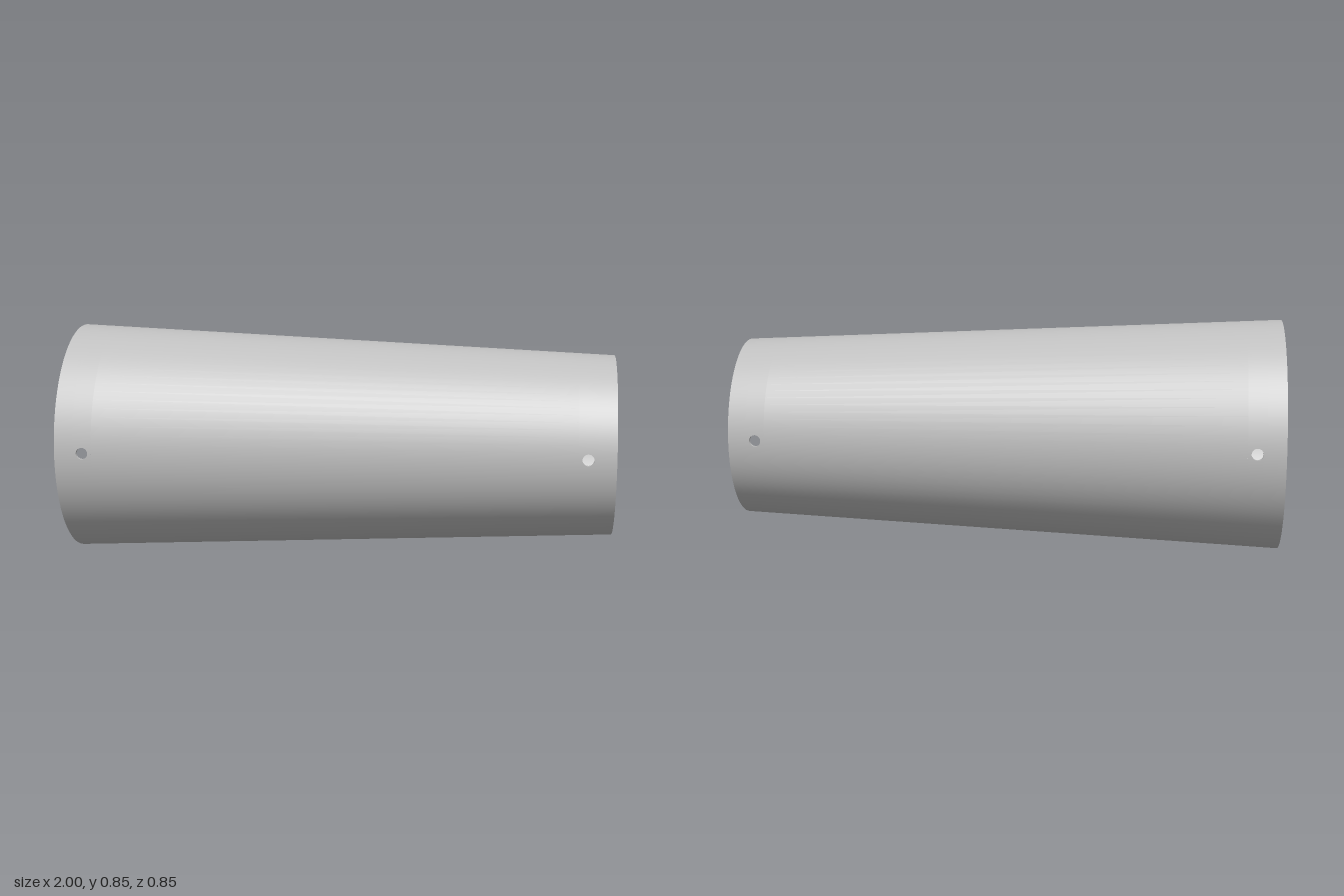
import * as THREE from 'three';

const R_LEFT = 0.424, R_RIGHT = 0.332, WALL = 0.0125;
const SLOPE = (R_LEFT - R_RIGHT) / 2;
const SEGS = 80, STEP = (Math.PI * 2) / SEGS;
const HOLE_X = 0.9, HOLE_R = 0.021, PATCH = 0.034, HOLE_SEGS = 32;

const radius = (x, inset) => R_LEFT - SLOPE * (x + 1) - inset;

// Point on the tapered wall; angle 0 faces the front.
function wallPoint(x, a, inset) {
  const r = radius(x, inset);
  return { p: [x, R_LEFT + r * Math.sin(a), r * Math.cos(a)], n: [SLOPE, Math.sin(a), Math.cos(a)] };
}

// Collects quads with explicit normals.
class Surface {
  constructor() { this.pos = []; this.nor = []; }
  quad(a, b, c, d, flip) {
    const order = flip ? [a, c, b, a, d, c] : [a, b, c, a, c, d];
    for (const v of order) {
      this.pos.push(...v.p);
      const n = new THREE.Vector3(...v.n).normalize();
      if (flip) n.negate();
      this.nor.push(n.x, n.y, n.z);
    }
  }
  mesh(name, material) {
    const g = new THREE.BufferGeometry();
    g.setAttribute('position', new THREE.Float32BufferAttribute(this.pos, 3));
    g.setAttribute('normal', new THREE.Float32BufferAttribute(this.nor, 3));
    const m = new THREE.Mesh(g, material);
    m.name = name;
    return m;
  }
}

// Point on a hole's edge, straight through the wall.
function holePoint(cx, side, t, inset) {
  const x = cx + HOLE_R * Math.cos(t);
  return wallPoint(x, side + Math.asin((HOLE_R * Math.sin(t)) / radius(x, inset)), inset);
}

// Point on the square patch surrounding a hole.
function patchPoint(cx, side, t, inset) {
  const c = Math.cos(t), s = Math.sin(t), k = Math.max(Math.abs(c), Math.abs(s));
  return wallPoint(cx + (PATCH * c) / k, side + (STEP * s) / k, inset);
}

// Tapered skin with four drilled holes.
function buildSkin(inset, flip) {
  const s = new Surface();
  const cuts = [-1, -HOLE_X - PATCH, -HOLE_X + PATCH, HOLE_X - PATCH, HOLE_X + PATCH, 1];
  for (let i = 0; i < SEGS; i++) {
    const a0 = i * STEP, a1 = a0 + STEP;
    const column = i % (SEGS / 2);
    const drilled = column === 0 || column === SEGS / 2 - 1;
    for (let j = 0; j < 5; j++) {
      if (drilled && (j === 1 || j === 3)) continue;
      s.quad(wallPoint(cuts[j], a0, inset), wallPoint(cuts[j + 1], a0, inset),
        wallPoint(cuts[j + 1], a1, inset), wallPoint(cuts[j], a1, inset), flip);
    }
  }
  eachHoleStep((cx, side, t0, t1) => s.quad(
    patchPoint(cx, side, t0, inset), patchPoint(cx, side, t1, inset),
    holePoint(cx, side, t1, inset), holePoint(cx, side, t0, inset), flip));
  return s;
}

function eachHoleStep(fn) {
  const dt = (Math.PI * 2) / HOLE_SEGS;
  for (const cx of [-HOLE_X, HOLE_X])
    for (const side of [0, Math.PI])
      for (let i = 0; i < HOLE_SEGS; i++) fn(cx, side, i * dt, (i + 1) * dt);
}

export function createModel() {
  const group = new THREE.Group();
  group.name = 'taperedSleeve';
  const grey = new THREE.MeshStandardMaterial({ color: 0xbfbfbf });
  grey.name = 'grey';

  group.add(buildSkin(0, false).mesh('outerWall', grey));
  group.add(buildSkin(WALL, true).mesh('innerWall', grey));

  // Flat rims closing the wall at both ends
  for (const x of [-1, 1]) {
    const rim = new Surface();
    const corner = (a, inset) => ({ p: wallPoint(x, a, inset).p, n: [-1, 0, 0] });
    for (let i = 0; i < SEGS; i++) {
      const a0 = i * STEP, a1 = a0 + STEP;
      rim.quad(corner(a0, 0), corner(a1, 0), corner(a1, WALL), corner(a0, WALL), x > 0);
    }
    group.add(rim.mesh(x < 0 ? 'wideRim' : 'narrowRim', grey));
  }

  // Cylindrical sides of the drilled holes
  const bore = new Surface();
  eachHoleStep((cx, side, t0, t1) => {
    const edge = (t, inset) => ({
      p: holePoint(cx, side, t, inset).p,
      n: [-Math.cos(t), -Math.sin(t) * Math.cos(side), 0],
    });
    bore.quad(edge(t0, 0), edge(t1, 0), edge(t1, WALL), edge(t0, WALL), false);
  });
  group.add(bore.mesh('holeSides', grey));

  return group;
}
